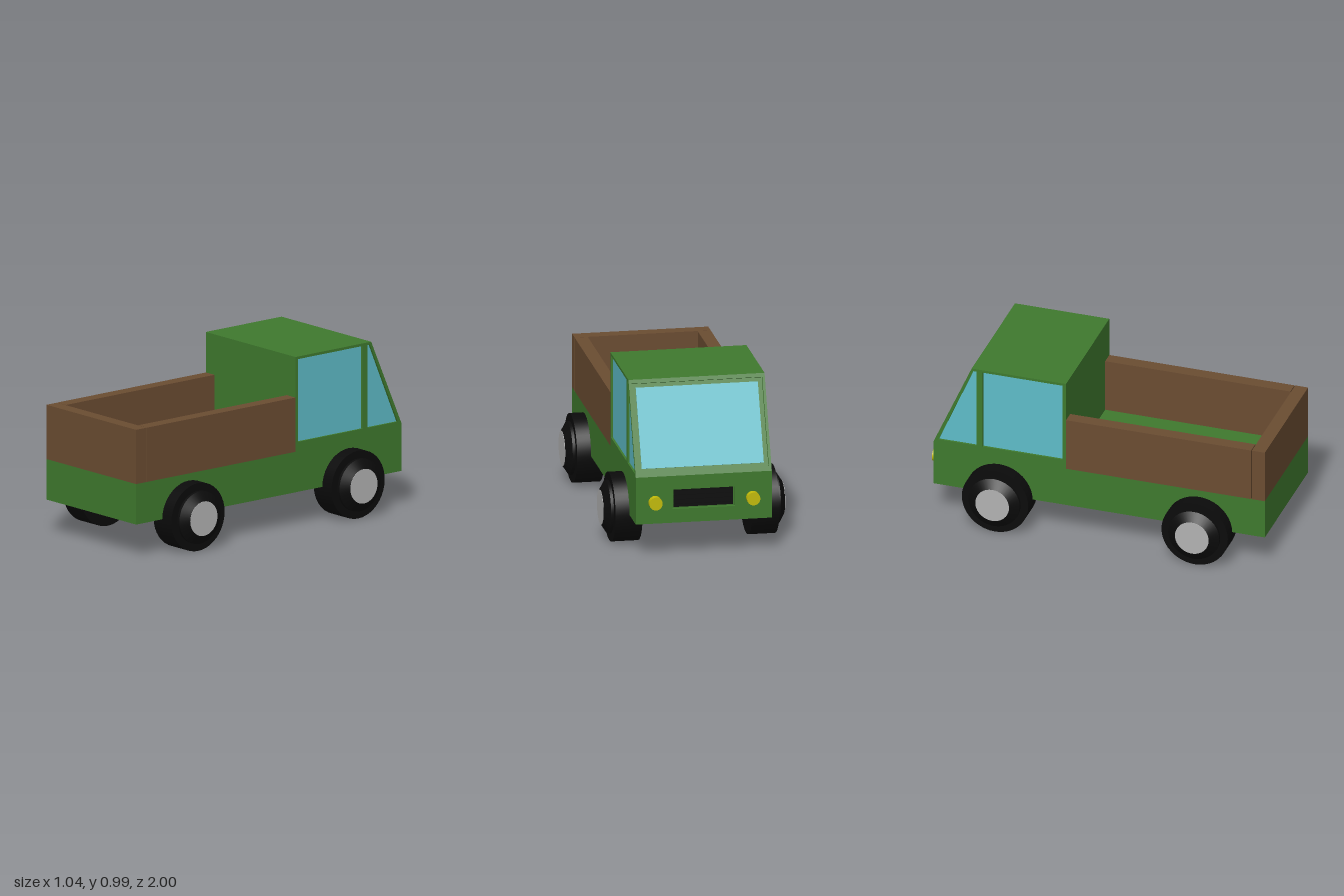
import * as THREE from 'three';
import { toCreasedNormals } from 'three/addons/utils/BufferGeometryUtils.js';

const paint = (color) => new THREE.MeshStandardMaterial({ color });
const GREEN = paint(0x3f7a2e), BROWN = paint(0x6b4d32), GLASS = paint(0x5fbdc9);
const BLACK = paint(0x0b0b0b), GREY = paint(0xb3b3b3), YELLOW = paint(0xc4bc08);

const HALF = 0.39; // half width of the body
const SKIN = 0.015; // depth of the window recesses

export function createModel() {
  const truck = new THREE.Group();
  truck.name = 'truck';

  const add = (name, geometry, material, parent = truck) => {
    const mesh = new THREE.Mesh(geometry, material);
    mesh.name = name;
    parent.add(mesh);
    return mesh;
  };
  // Box given by its limits on each axis
  const box = (name, [x0, x1], [y0, y1], [z0, z1], material) => {
    const mesh = add(name, new THREE.BoxGeometry(x1 - x0, y1 - y0, z1 - z0), material);
    mesh.position.set((x0 + x1) / 2, (y0 + y1) / 2, (z0 + z1) / 2);
    return mesh;
  };
  const vectors = (points) => points.map(([a, b]) => new THREE.Vector2(a, b));
  // Side profile of (forward, up) points extruded across the width from x0 to x1
  const profile = (name, points, x0, x1, material, holes = []) => {
    const shape = new THREE.Shape(vectors(points));
    holes.forEach((h) => shape.holes.push(new THREE.Path(vectors(h))));
    const geometry = new THREE.ExtrudeGeometry(shape, { depth: x1 - x0, bevelEnabled: false });
    geometry.rotateY(Math.PI / 2).translate(x0, 0, 0);
    return add(name, geometry, material);
  };

  // Lower body, with a front panel opened for the grille
  box('chassis', [-HALF, HALF], [0.2, 0.435], [-0.945, 1], GREEN);
  const panel = new THREE.Shape(vectors([[-HALF, 0.2], [HALF, 0.2], [HALF, 0.435], [-HALF, 0.435]]));
  panel.holes.push(new THREE.Path(vectors([[-0.18, 0.28], [-0.18, 0.395], [0.18, 0.395], [0.18, 0.28]])));
  add('frontPanel', new THREE.ExtrudeGeometry(panel, { depth: 0.02, bevelEnabled: false }), GREEN)
    .position.z = -0.965;
  box('grilleBack', [-0.17, 0.17], [0.287, 0.388], [-0.949, -0.944], BLACK);
  for (let i = 0; i < 4; i++) {
    const y = 0.29 + i * 0.026;
    box('grilleBar', [-0.17, 0.17], [y, y + 0.016], [-0.958, -0.945], BLACK);
  }

  // Cab: a core with a notched windscreen, between two skins pierced by the side windows
  const roof = [0.74, 0.985], nose = [0.965, 0.475];
  const slope = new THREE.Vector2(nose[0] - roof[0], nose[1] - roof[1]);
  const inward = new THREE.Vector2(slope.y, -slope.x).normalize();
  const onSlope = (t, depth) => [
    roof[0] + slope.x * t + inward.x * depth,
    roof[1] + slope.y * t + inward.y * depth,
  ];
  const lower = [[0.18, 0.435], [0.965, 0.435], nose];
  const upper = [roof, [0.18, 0.985]];
  const notch = [onSlope(0.95, 0), onSlope(0.95, SKIN), onSlope(0.04, SKIN), onSlope(0.04, 0)];
  profile('cabCore', [...lower, ...notch, ...upper], -HALF + SKIN, HALF - SKIN, GREEN);

  const sideWindows = [
    [[0.2, 0.49], [0.2, 0.97], [0.675, 0.97], [0.675, 0.49]],
    [[0.712, 0.49], [0.712, 0.97], [0.73, 0.97], [0.936, 0.49]],
  ];
  for (const s of [-1, 1]) {
    const skinX = s > 0 ? [HALF - SKIN, HALF] : [-HALF, -HALF + SKIN];
    profile('cabSide', [...lower, ...upper], ...skinX, GREEN, sideWindows);
    const paneX = s > 0 ? HALF - SKIN : -HALF + SKIN;
    sideWindows.forEach((w) => profile('sideWindow', w, paneX - 0.003, paneX + 0.003, GLASS));
  }
  const pane = [onSlope(0.08, SKIN - 0.003), onSlope(0.08, SKIN + 0.003),
    onSlope(0.91, SKIN + 0.003), onSlope(0.91, SKIN - 0.003)];
  profile('windscreen', pane, -0.35, 0.35, GLASS);

  // Cargo bed boards
  box('tailgate', [-HALF, HALF], [0.435, 0.75], [0.923, 1], BROWN);
  for (const s of [-1, 1]) {
    box('bedSide', s > 0 ? [0.315, HALF] : [-HALF, -0.315], [0.435, 0.75], [-0.18, 0.919], BROWN);
  }

  // Headlights
  for (const s of [-1, 1]) {
    const lamp = add('headlight', new THREE.CylinderGeometry(0.038, 0.038, 0.04, 24), YELLOW);
    lamp.rotation.x = Math.PI / 2;
    lamp.position.set(s * 0.28, 0.325, -0.98);
  }

  // Wheels: stepped tyre turned about its axle, with a flat hub disc
  const tyre = toCreasedNormals(new THREE.LatheGeometry(vectors([
    [0, 0.315], [0.197, 0.315], [0.197, 0.47], [0.152, 0.47], [0.152, 0.487], [0.1, 0.52], [0, 0.52],
  ]), 40), 0.5).rotateZ(-Math.PI / 2);
  const hub = new THREE.CylinderGeometry(0.1, 0.1, 0.01, 40).rotateZ(Math.PI / 2);
  for (const z of [-0.575, 0.61]) {
    for (const s of [-1, 1]) {
      const wheel = new THREE.Group();
      wheel.name = z < 0 ? 'frontWheel' : 'rearWheel';
      add('tyre', tyre, BLACK, wheel);
      add('hub', hub, GREY, wheel).position.x = 0.517;
      wheel.position.set(0, 0.197, z);
      wheel.rotation.y = s > 0 ? 0 : Math.PI;
      truck.add(wheel);
    }
  }
  return truck;
}
